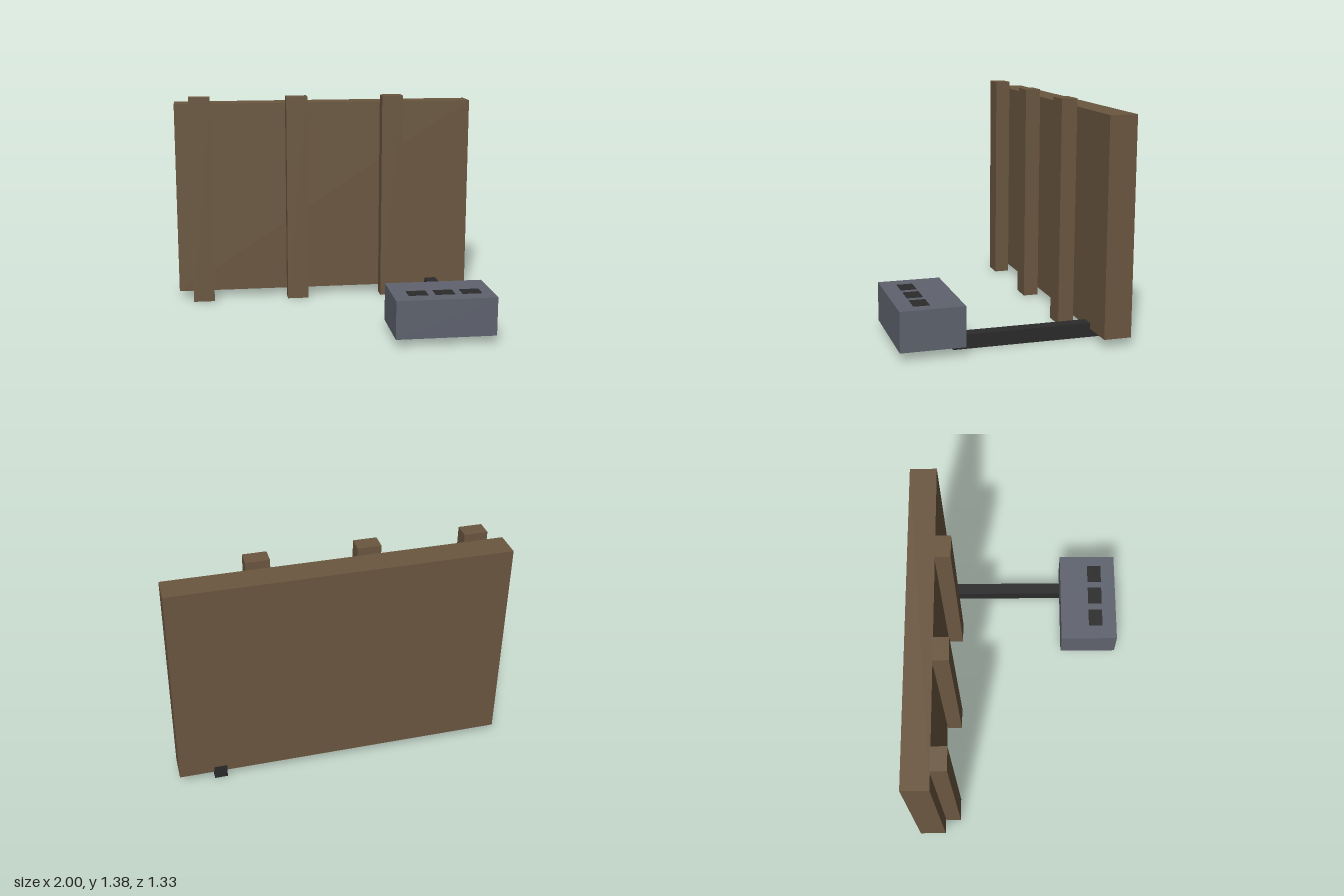
import * as THREE from 'three';

const material = (name, color) => {
  const m = new THREE.MeshStandardMaterial({ color });
  m.name = name;
  return m;
};

// Box given by its min and max on each axis
function block(name, mat, [x0, x1], [y0, y1], [z0, z1]) {
  const mesh = new THREE.Mesh(new THREE.BoxGeometry(x1 - x0, y1 - y0, z1 - z0), mat);
  mesh.position.set((x0 + x1) / 2, (y0 + y1) / 2, (z0 + z1) / 2);
  mesh.name = name;
  return mesh;
}

export function createModel() {
  const wood = material('brown wood', 0x6b5740);
  const metal = material('grey metal', 0x5f636e);
  const dark = material('dark rubber', 0x2b2b2b);
  const model = new THREE.Group();
  model.name = 'panelWithControlBox';

  // Upright panel
  model.add(block('panel', wood, [-1, 1], [0.05, 1.335], [-0.665, -0.5]));

  // Vertical battens on the front of the panel
  for (const x of [-0.833, -0.193, 0.45]) {
    model.add(block('batten', wood, [x - 0.07, x + 0.07], [0, 1.383], [-0.5, -0.403]));
  }

  // Conduit running along the ground from panel to box
  model.add(block('conduit', dark, [0.712, 0.79], [0, 0.085], [-0.667, 0.335]));

  // Control box with three buttons on top
  const control = new THREE.Group();
  control.name = 'controlBox';
  control.add(block('housing', metal, [0.285, 0.9], [0.05, 0.288], [0.288, 0.667]));
  for (const x of [0.438, 0.603, 0.768]) {
    control.add(block('button', dark, [x - 0.06, x + 0.06], [0.285, 0.29], [0.478, 0.572]));
  }
  model.add(control);
  return model;
}
